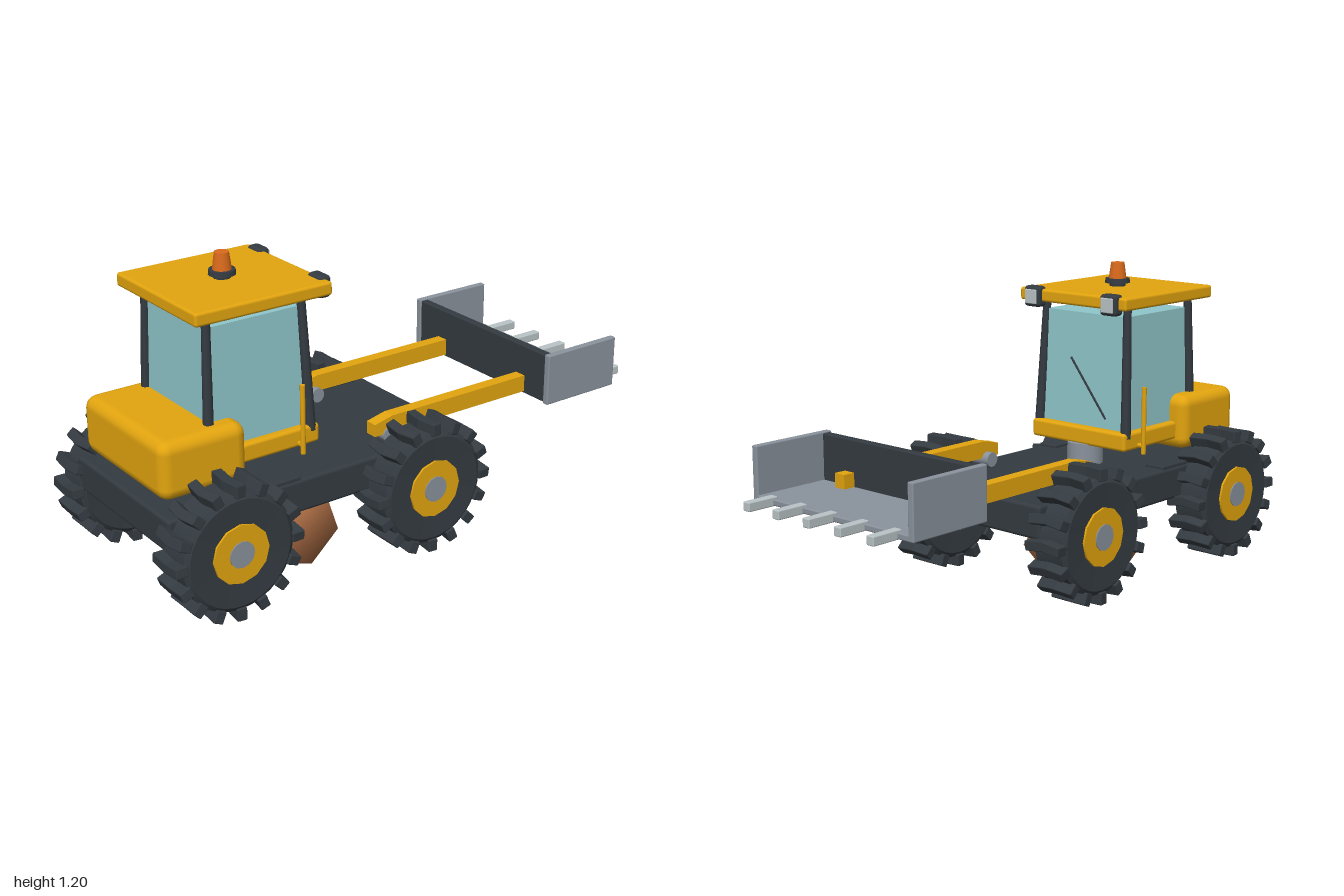
import * as THREE from 'three';
import { mergeVertices, toCreasedNormals } from 'three/addons/utils/BufferGeometryUtils.js';
import { RoundedBoxGeometry } from 'three/addons/geometries/RoundedBoxGeometry.js';
import { ConvexGeometry } from 'three/addons/geometries/ConvexGeometry.js';

const paint = (name, color) => {
  const m = new THREE.MeshStandardMaterial({ color });
  m.name = name;
  return m;
};

export function createModel() {
  const yellow = paint('yellow paint', 0xe3a50f);
  const dark = paint('dark rubber', 0x343b41);
  const steel = paint('steel', 0x8a929c);
  const pale = paint('pale metal', 0xb9c3c6);
  const glass = paint('tinted glass', 0x8fc6ca);
  const brown = paint('brown rock', 0xa0653f);
  const orange = paint('orange lens', 0xd96a1c);

  const model = new THREE.Group();
  model.name = 'bucketTractor';

  const add = (name, geo, mat, x = 0, y = 0, z = 0, parent = model) => {
    const mesh = new THREE.Mesh(geo, mat);
    mesh.name = name;
    mesh.position.set(x, y, z);
    parent.add(mesh);
    return mesh;
  };
  // Box given by its limits on each axis, with a small rounded edge
  const box = (name, mat, [x0, x1], [y0, y1], [z0, z1], r = 0.005) =>
    add(name, new RoundedBoxGeometry(x1 - x0, y1 - y0, z1 - z0, 2, r), mat,
      (x0 + x1) / 2, (y0 + y1) / 2, (z0 + z1) / 2);
  // Same box on both sides of the model
  const pair = (name, mat, [x0, x1], ys, zs, r) => {
    box(name + 'Left', mat, [x0, x1], ys, zs, r);
    box(name + 'Right', mat, [-x1, -x0], ys, zs, r);
  };
  // Straight bar between two points
  const bar = (name, mat, a, b, r0, r1 = r0, sides = 12) => {
    const p = new THREE.Vector3(...a), q = new THREE.Vector3(...b);
    const d = q.clone().sub(p);
    const mesh = add(name, new THREE.CylinderGeometry(r1, r0, d.length(), sides), mat);
    mesh.position.copy(p).add(q).multiplyScalar(0.5);
    mesh.quaternion.setFromUnitVectors(new THREE.Vector3(0, 1, 0), d.normalize());
  };

  // Chassis and turntable column
  box('chassis', dark, [-0.305, 0.305], [0.35, 0.47], [-0.24, 0.96], 0.012);
  pair('step', dark, [0.22, 0.3], [0.465, 0.482], [0.45, 0.62]);
  bar('column', steel, [0, 0.275, 0.365], [0, 0.55, 0.365], 0.067, 0.067, 24);
  bar('shaft', dark, [0, 0.2, 0.365], [0, 0.28, 0.365], 0.03);

  // Wheels: tyre, two rows of lugs, hub and cap, all around the x axis
  const tyreProfile = [[0.1, -0.066], [0.19, -0.07], [0.207, -0.058], [0.207, 0.058], [0.19, 0.07], [0.1, 0.066]]
    .map(([r, h]) => new THREE.Vector2(r, h));
  const tyreGeo = toCreasedNormals(new THREE.LatheGeometry(tyreProfile, 32), 0.6).rotateZ(Math.PI / 2);
  const lugGeo = new RoundedBoxGeometry(0.077, 0.045, 0.036, 1, 0.004);
  const hubGeo = new THREE.CylinderGeometry(0.105, 0.105, 0.148, 12).rotateZ(Math.PI / 2);
  const capGeo = new THREE.CylinderGeometry(0.047, 0.047, 0.156, 12).rotateZ(Math.PI / 2);
  const lugs = 16;
  for (const side of [-1, 1]) {
    for (const [end, z] of [['bucketEnd', -0.03], ['hoodEnd', 0.76]]) {
      const wheel = new THREE.Group();
      wheel.name = end + 'Wheel' + (side > 0 ? 'Left' : 'Right');
      wheel.position.set(side * 0.342, 0.34, z);
      model.add(wheel);
      add('tyre', tyreGeo, dark, 0, 0, 0, wheel);
      add('hub', hubGeo, yellow, 0, 0, 0, wheel);
      add('hubCap', capGeo, steel, 0, 0, 0, wheel);
      for (let i = 0; i < lugs; i++) {
        const a = (i / lugs) * Math.PI * 2;
        for (const half of [-1, 1]) {
          const lug = add('treadLug', lugGeo, dark, half * 0.036, Math.cos(a) * 0.22, Math.sin(a) * 0.22, wheel);
          lug.rotation.set(a, half * 0.12, 0);
        }
      }
    }
  }

  // Engine hood and cab floor
  box('engineHood', yellow, [-0.262, 0.262], [0.505, 0.71], [0.625, 0.95], 0.042);
  box('cabFloor', yellow, [-0.222, 0.222], [0.545, 0.612], [0.318, 0.7], 0.012);

  // Cab glass narrows towards the top
  const glassGeo = new THREE.BoxGeometry(0.39, 0.42, 0.388);
  const gp = glassGeo.attributes.position;
  for (let i = 0; i < gp.count; i++) {
    if (gp.getY(i) > 0) gp.setXYZ(i, gp.getX(i) * 0.95, gp.getY(i), gp.getZ(i) * 0.94);
  }
  glassGeo.computeVertexNormals();
  add('cabGlass', glassGeo, glass, 0, 0.82, 0.544);

  // Pillars and grab rails
  for (const side of [-1, 1]) {
    bar('bucketSidePillar', dark, [side * 0.207, 0.59, 0.345], [side * 0.19, 1.07, 0.367], 0.019, 0.015, 8);
    bar('hoodSidePillar', dark, [side * 0.202, 0.6, 0.74], [side * 0.19, 1.07, 0.728], 0.019, 0.015, 8);
    bar('grabRail', yellow, [side * 0.245, 0.53, 0.402], [side * 0.245, 0.778, 0.402], 0.009, 0.009, 8);
    bar('grabRailMount', yellow, [side * 0.2, 0.56, 0.402], [side * 0.245, 0.56, 0.402], 0.009, 0.009, 8);
  }
  bar('wiper', dark, [-0.11, 0.65, 0.346], [0.06, 0.86, 0.352], 0.004, 0.004, 6);

  // Roof, work lamps and beacon
  box('roof', yellow, [-0.25, 0.25], [1.065, 1.112], [0.28, 0.8], 0.01);
  pair('lampHousing', dark, [0.142, 0.218], [1.045, 1.122], [0.262, 0.31], 0.014);
  pair('lampLens', pale, [0.153, 0.207], [1.057, 1.11], [0.257, 0.266], 0.003);
  bar('beaconBase', dark, [0, 1.11, 0.545], [0, 1.125, 0.545], 0.03);
  bar('beaconRing', dark, [0, 1.124, 0.545], [0, 1.141, 0.545], 0.047, 0.045, 16);
  bar('beaconLens', orange, [0, 1.14, 0.545], [0, 1.2, 0.545], 0.033, 0.025, 16);

  // Lift arms with a chamfered end, on pivot pins
  const armShape = new THREE.Shape(
    [[-0.105, 0.51], [0.655, 0.51], [0.655, 0.572], [-0.03, 0.572], [-0.105, 0.555]]
      .map(([x, y]) => new THREE.Vector2(x, y)));
  const armGeo = new THREE.ExtrudeGeometry(armShape, { depth: 0.046, bevelEnabled: false });
  armGeo.rotateY(Math.PI / 2).translate(-0.023, 0, 0);
  for (const side of [-1, 1]) {
    add('liftArm', armGeo, yellow, side * 0.225, 0, 0);
    bar('pivotPin', steel, [side * 0.175, 0.505, 0.045], [side * 0.255, 0.505, 0.045], 0.027, 0.027, 16);
  }
  pair('pivotMount', dark, [0.2, 0.25], [0.46, 0.49], [0.015, 0.075]);

  // Bucket
  box('bucketBack', dark, [-0.365, 0.365], [0.502, 0.685], [-0.61, -0.578]);
  box('bucketFloor', steel, [-0.365, 0.365], [0.5, 0.522], [-0.9, -0.6]);
  pair('bucketSide', steel, [0.355, 0.38], [0.5, 0.69], [-0.9, -0.572]);
  for (let i = -2; i <= 2; i++) {
    const x = i * 0.147;
    box('bucketTooth', pale, [x - 0.016, x + 0.016], [0.498, 0.53], [-1, -0.88], 0.004);
  }

  // Rock under the column
  const rockPoints = [
    [0.12, 0.245, 0.3], [0.1, 0.24, 0.2], [-0.135, 0.23, 0.4], [-0.1, 0.235, 0.22], [0.06, 0.243, 0.42],
    [-0.22, 0.15, 0.4], [-0.18, 0.17, 0.22], [0, 0.185, 0.145], [0.05, 0.13, 0.585], [-0.1, 0.185, 0.56],
    [0.225, 0.09, 0.36], [0.16, 0.15, 0.2], [0.15, 0.15, 0.52], [-0.165, 0.035, 0.35],
    [0.035, 0, 0.32], [-0.02, 0.02, 0.46], [0.02, 0.075, 0.17], [0, 0.08, 0.57],
  ].map((p) => new THREE.Vector3(...p));
  const hull = new ConvexGeometry(rockPoints);
  hull.deleteAttribute('normal');
  const rockGeo = mergeVertices(hull);
  rockGeo.computeVertexNormals();
  add('rock', rockGeo, brown);

  return model;
}
